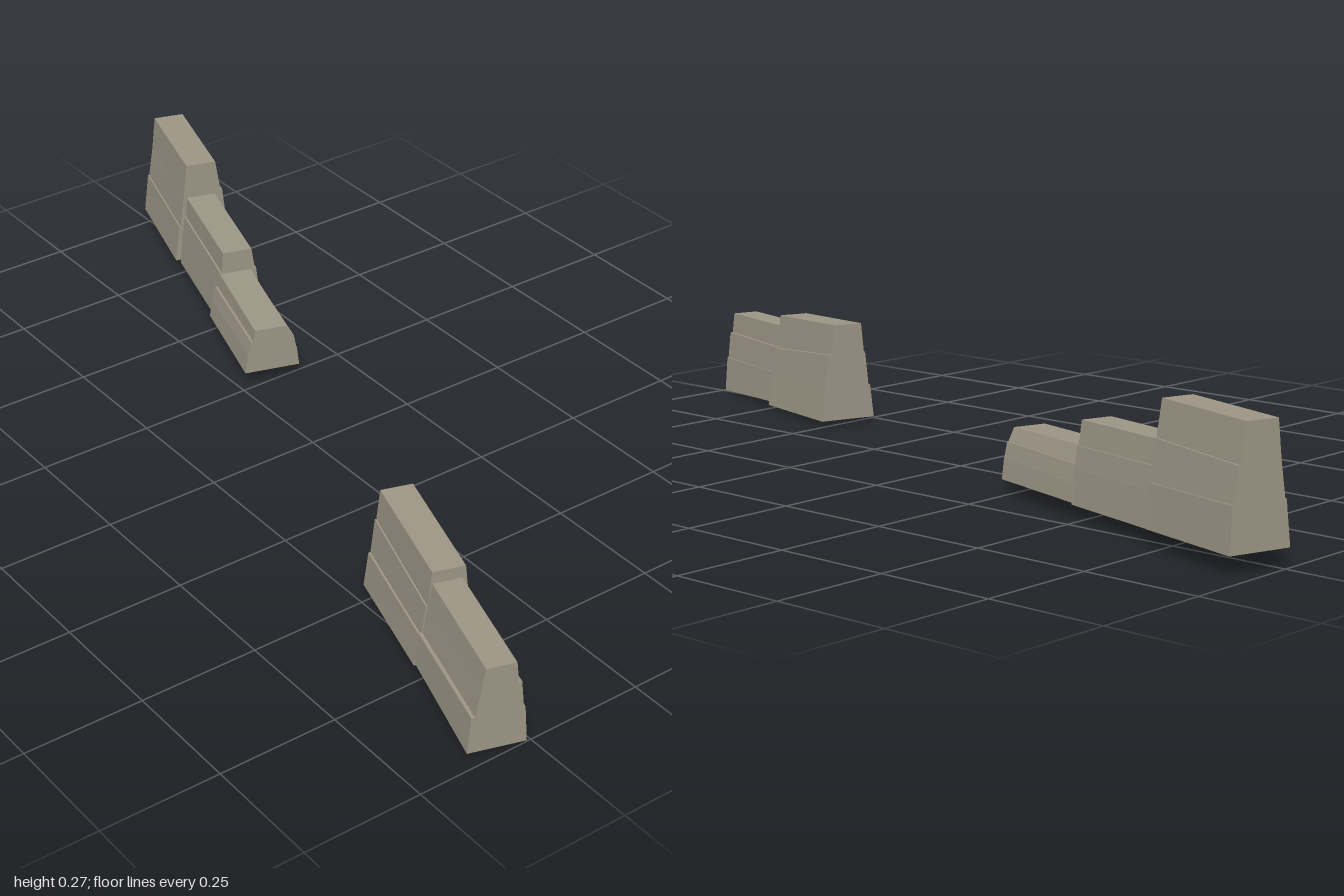
import * as THREE from 'three';

const stone = new THREE.MeshStandardMaterial({ color: 0x9c9585 });
stone.name = 'weathered stone';

// direction across the walls, seen from above
const ACROSS = { x: 0.955, z: 0.296 };

// One tapered stone course between a near and a far end.
// low and high are [y near, y far, reach to -x side, reach to +x side]
function course(near, far, low, high) {
  const geometry = new THREE.BoxGeometry(1, 1, 1);
  const p = geometry.attributes.position;
  for (let i = 0; i < p.count; i++) {
    const end = p.getZ(i) > 0 ? near : far;
    const level = p.getY(i) > 0 ? high : low;
    const reach = p.getX(i) > 0 ? level[3] : -level[2];
    p.setXYZ(i,
      end[0] + ACROSS.x * reach,
      p.getZ(i) > 0 ? level[0] : level[1],
      end[1] + ACROSS.z * reach);
  }
  geometry.computeVertexNormals();
  return new THREE.Mesh(geometry, stone);
}

// Each section: ground line ends [x, z] and its courses from bottom to top
const sections = [
  { name: 'frontWallLow', near: [-0.312, 0.981], far: [-0.237, 0.735], courses: [
    [[0, 0.012, 0.058, 0.057], [0.079, 0.08, 0.052, 0.051]],
    [[0.079, 0.08, 0.045, 0.048], [0.138, 0.138, 0.035, 0.042]],
    [[0.138, 0.138, 0.035, 0.036], [0.183, 0.187, 0.028, 0.031]],
  ] },
  { name: 'frontWallHigh', near: [-0.2325, 0.7375], far: [-0.16, 0.488], courses: [
    [[0.007, 0.011, 0.065, 0.065], [0.075, 0.085, 0.056, 0.056]],
    [[0.075, 0.085, 0.052, 0.056], [0.138, 0.16, 0.044, 0.048]],
    [[0.138, 0.16, 0.041, 0.040], [0.213, 0.225, 0.034, 0.032]],
  ] },
  { name: 'backWallLow', near: [0.074, -0.25], far: [0.147, -0.4925], courses: [
    [[0.028, 0.03, 0.06, 0.062], [0.072, 0.068, 0.054, 0.057]],
    [[0.072, 0.068, 0.054, 0.056], [0.103, 0.102, 0.046, 0.05]],
    [[0.103, 0.102, 0.041, 0.047], [0.13, 0.136, 0.037, 0.034]],
  ] },
  { name: 'backWallMiddle', near: [0.149, -0.485], far: [0.222, -0.735], courses: [
    [[0.025, 0.028, 0.052, 0.055], [0.095, 0.1, 0.045, 0.049]],
    [[0.095, 0.1, 0.045, 0.048], [0.138, 0.145, 0.04, 0.043]],
    [[0.138, 0.145, 0.036, 0.04], [0.187, 0.193, 0.033, 0.033]],
  ] },
  { name: 'backWallHigh', near: [0.226, -0.7375], far: [0.3, -0.981], courses: [
    [[0.033, 0.037, 0.065, 0.066], [0.119, 0.126, 0.055, 0.061]],
    [[0.119, 0.126, 0.052, 0.058], [0.2, 0.195, 0.042, 0.049]],
    [[0.2, 0.195, 0.042, 0.045], [0.272, 0.272, 0.034, 0.034]],
  ] },
];

export function createModel() {
  const model = new THREE.Group();
  model.name = 'steppedStoneWalls';
  for (const { name, near, far, courses } of sections) {
    const section = new THREE.Group();
    section.name = name;
    courses.forEach(([low, high], i) => {
      const mesh = course(near, far, low, high);
      mesh.name = ['bottomCourse', 'middleCourse', 'topCourse'][i];
      section.add(mesh);
    });
    model.add(section);
  }
  return model;
}
